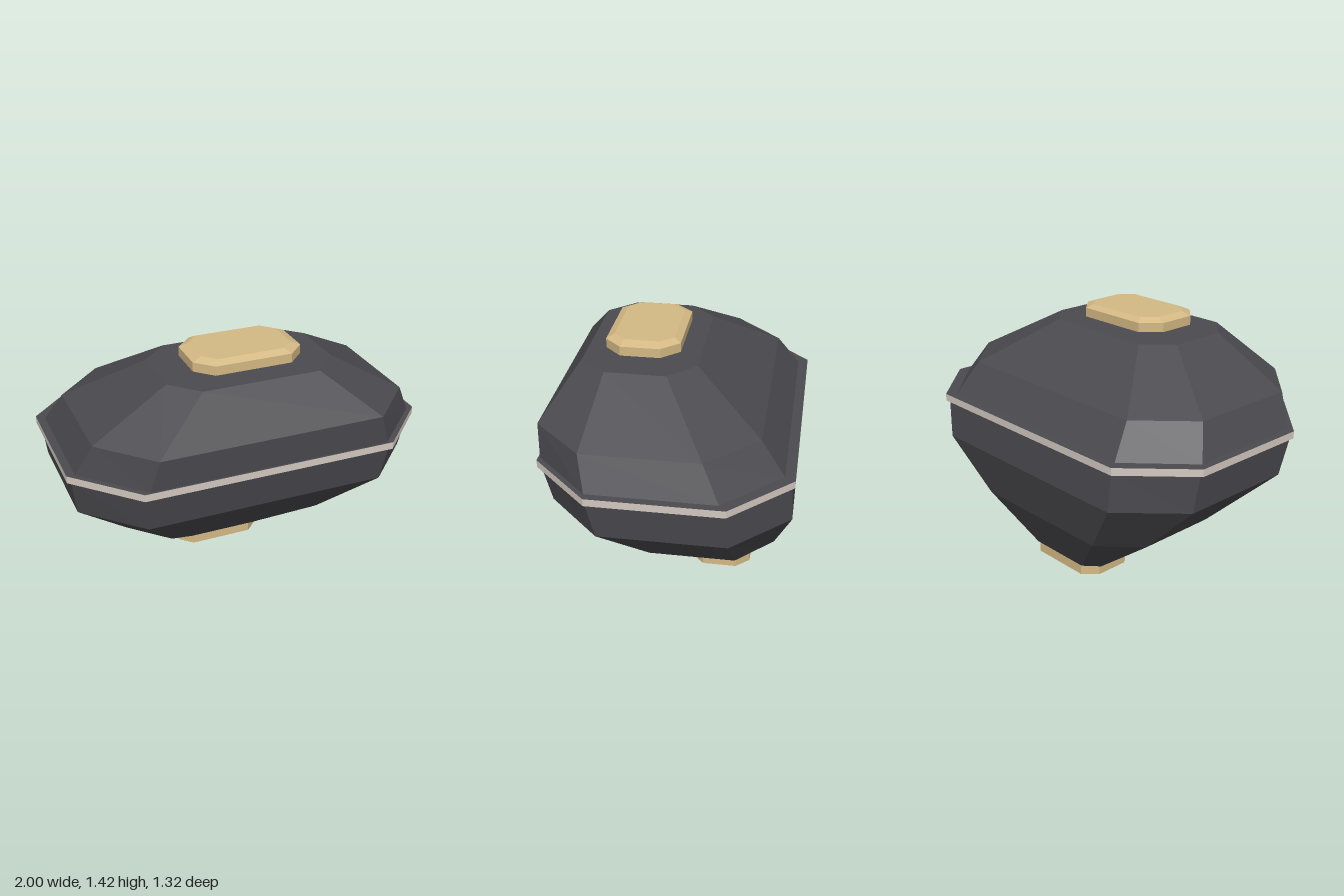
import * as THREE from 'three';

const mat = (name, color) => {
  const m = new THREE.MeshStandardMaterial({ color, flatShading: true });
  m.name = name;
  return m;
};

// Chamfered rectangle at height y: half width x, half width of front/back flats,
// front and back z, and the z range of the straight sides.
function ring([y, x, flat, front, back, sideFront, sideBack]) {
  return [
    [x, sideFront], [flat, front], [-flat, front], [-x, sideFront],
    [-x, sideBack], [-flat, back], [flat, back], [x, sideBack],
  ].map(([px, pz]) => [px, y, pz]);
}

// Faceted solid through a stack of rings, listed bottom to top.
function loft(name, sections, sideMaterial, capMaterial = sideMaterial) {
  const rings = sections.map(ring);
  const sides = [], caps = [];
  const n = 8;
  for (let r = 0; r < rings.length - 1; r++) {
    for (let i = 0; i < n; i++) {
      const j = (i + 1) % n;
      const a = rings[r][i], b = rings[r][j], c = rings[r + 1][j], d = rings[r + 1][i];
      sides.push(a, d, c, a, c, b);
    }
  }
  const bottom = rings[0], top = rings[rings.length - 1];
  for (let i = 1; i < n - 1; i++) {
    caps.push(bottom[0], bottom[i], bottom[i + 1]);
    caps.push(top[0], top[i + 1], top[i]);
  }
  const geometry = new THREE.BufferGeometry();
  const points = [...sides, ...caps].flat();
  geometry.setAttribute('position', new THREE.Float32BufferAttribute(points, 3));
  geometry.addGroup(0, sides.length, 0);
  geometry.addGroup(sides.length, caps.length, 1);
  geometry.computeVertexNormals();
  const mesh = new THREE.Mesh(geometry, [sideMaterial, capMaterial]);
  mesh.name = name;
  return mesh;
}

export function createModel() {
  const charcoal = mat('charcoal', 0x4b4a4f);
  const gold = mat('gold', 0xd4b984);
  const ivory = mat('ivory', 0xd3c9c0);

  const group = new THREE.Group();
  group.name = 'facetedVessel';

  // Lower shell, leaning back towards the foot
  group.add(loft('lowerShell', [
    [0.08, 0.27, 0.19, -0.07, -0.42, -0.15, -0.345],
    [0.36, 0.64, 0.44, 0.29, -0.56, 0.09, -0.365],
    [0.67, 0.95, 0.66, 0.59, -0.655, 0.30, -0.36],
    [0.885, 0.98, 0.675, 0.64, -0.645, 0.34, -0.345],
  ], charcoal));

  // Upper shell, leaning forward towards the cap
  group.add(loft('upperShell', [
    [0.915, 0.96, 0.66, 0.645, -0.61, 0.345, -0.315],
    [1.09, 0.87, 0.61, 0.66, -0.48, 0.39, -0.22],
    [1.33, 0.46, 0.32, 0.485, -0.12, 0.34, 0.02],
  ], charcoal));

  // Seam band: pale rim with dark upper and lower faces
  const band = [1, 0.69, 0.655, -0.66, 0.34, -0.35];
  group.add(loft('seamBand', [[0.88, ...band], [0.92, ...band]], ivory, charcoal));

  // Bevelled cap floating just above the upper shell
  const cap = [0.30, 0.21, 0.38, -0.015, 0.29, 0.08];
  group.add(loft('topCap', [
    [1.35, ...cap],
    [1.40, ...cap],
    [1.42, 0.25, 0.185, 0.34, 0.02, 0.275, 0.09],
  ], gold));

  // Bevelled foot
  const foot = [0.25, 0.18, -0.08, -0.415, -0.15, -0.34];
  group.add(loft('foot', [
    [0, 0.215, 0.16, -0.115, -0.38, -0.165, -0.325],
    [0.02, ...foot],
    [0.08, ...foot],
  ], gold));

  return group;
}
